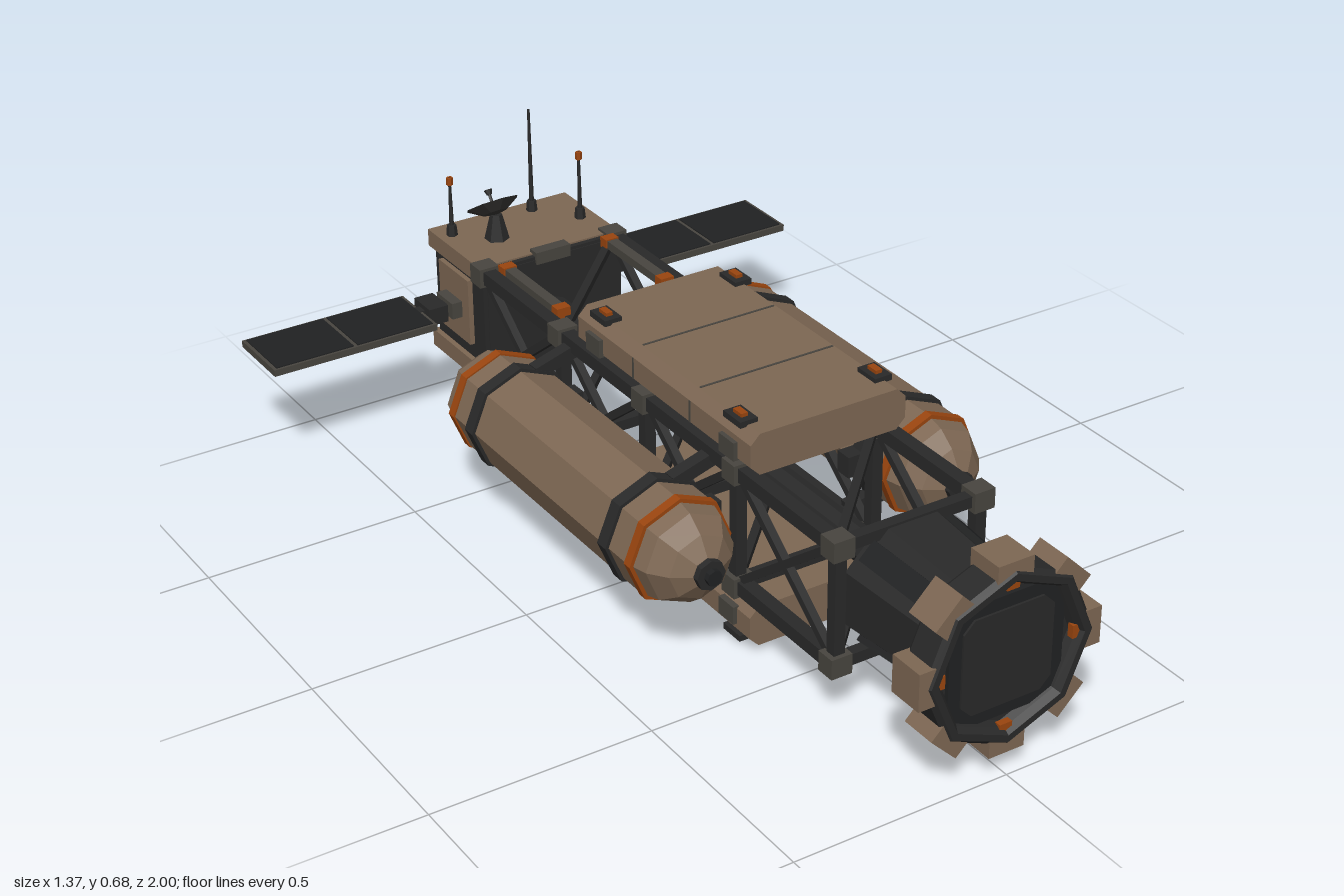
import * as THREE from 'three';

const flat = (name, color) => new THREE.MeshStandardMaterial({ name, color, flatShading: true });

export function createModel() {
  const root = new THREE.Group();
  root.name = 'spacecraft';
  const tan = flat('tan hull', 0x7d6753);
  const dark = flat('dark frame', 0x292929);
  const black = flat('black panel', 0x202122);
  const grey = flat('warm grey fitting', 0x48453f);
  const orange = flat('burnt orange', 0x9a450f);
  const CY = 0.28, H = 0.135, X = 0.17;

  const add = (name, geo, mat, x = 0, y = 0, z = 0, parent = root) => {
    const m = new THREE.Mesh(geo, mat);
    m.name = name;
    m.position.set(x, y, z);
    parent.add(m);
    return m;
  };
  const box = (name, mat, w, h, d, x, y, z, parent) =>
    add(name, new THREE.BoxGeometry(w, h, d), mat, x, y, z, parent);
  // cylinder along z, r1 at the front end
  const tubeZ = (name, mat, r1, r2, len, x, y, z, sides = 8) =>
    add(name, new THREE.CylinderGeometry(r1, r2, len, sides).rotateX(Math.PI / 2), mat, x, y, z);
  // square bar between two points
  const beam = (name, mat, a, b, t) => {
    const p = new THREE.Vector3(...a), q = new THREE.Vector3(...b);
    const m = box(name, mat, t, t, p.distanceTo(q), 0, 0, 0);
    m.position.copy(p).add(q).multiplyScalar(0.5);
    m.lookAt(q);
    return m;
  };
  const chamferShape = (w, h, c) => new THREE.Shape([
    [-w + c, -h], [w - c, -h], [w, -h + c], [w, h - c],
    [w - c, h], [-w + c, h], [-w, h - c], [-w, -h + c],
  ].map(p => new THREE.Vector2(...p)));
  const prism = (name, mat, w, h, c, z0, z1, y) =>
    add(name, new THREE.ExtrudeGeometry(chamferShape(w, h, c), { depth: z1 - z0, bevelEnabled: false }), mat, 0, y, z0);

  // truss: longerons, nodes, frames and diagonals
  const bays = [0.66, 0.31, -0.04, -0.39, -0.74];
  const lo = CY - H, hi = CY + H;
  for (const sx of [-1, 1]) for (const y of [lo, hi])
    box('longeron', dark, 0.032, 0.032, 1.42, sx * X, y, -0.04);
  bays.forEach((z, i) => {
    for (const y of [lo, hi]) {
      box('crossBar', dark, 2 * X, 0.026, 0.026, 0, y, z);
      for (const sx of [-1, 1]) box('trussNode', grey, 0.05, 0.046, 0.046, sx * X, y, z);
    }
    for (const sx of [-1, 1]) box('upright', dark, 0.026, 2 * H, 0.026, sx * X, CY, z);
    if (i === bays.length - 1) return;
    const n = bays[i + 1];
    for (const y of [lo, hi]) beam('flatDiagonal', dark, [-X, y, z], [X, y, n], 0.018);
    for (const sx of [-1, 1]) {
      beam('sideDiagonal', dark, [sx * X, lo, z], [sx * X, hi, n], 0.018);
      beam('sideDiagonal', dark, [sx * X, hi, z], [sx * X, lo, n], 0.018);
    }
  });
  tubeZ('spine', dark, 0.036, 0.036, 1.42, 0, CY, -0.04);

  // docking neck and collar
  const neck = new THREE.CylinderGeometry(0.138, 0.156, 0.24, 8).rotateY(Math.PI / 8).rotateX(Math.PI / 2);
  add('neck', neck, dark, 0, CY, 0.77);
  for (let i = 0; i < 4; i++) {
    const rib = new THREE.Group();
    rib.name = 'neckRibs';
    rib.position.set(0, CY, 0);
    rib.rotation.z = i * Math.PI / 2 + Math.PI / 4;
    box('neckRib', black, 0.05, 0.02, 0.2, 0, 0.139, 0.77, rib).rotation.x = 0.07;
    root.add(rib);
  }
  const collarProfile = [[0.125, 0.865], [0.15, 0.88], [0.195, 0.91], [0.203, 0.92], [0.203, 0.988],
    [0.192, 1], [0.176, 1], [0.166, 0.985], [0.158, 0.97], [0, 0.97]].map(p => new THREE.Vector2(...p));
  add('dockingCollar', new THREE.LatheGeometry(collarProfile, 8).rotateX(Math.PI / 2), dark, 0, CY, 0);
  prism('dockingDoor', black, 0.137, 0.137, 0.035, 0.965, 0.98, CY);
  prism('doorPanel', dark, 0.108, 0.108, 0.025, 0.975, 0.985, CY);
  for (let i = 0; i < 8; i++) {
    const g = new THREE.Group();
    g.name = 'collarSegment';
    g.position.y = CY;
    g.rotation.z = i * Math.PI / 4;
    box('collarBlock', tan, 0.085, 0.042, 0.085, 0, 0.197, 0.953, g);
    if (i % 2 === 0) box('collarLight', orange, 0.03, 0.02, 0.015, 0, 0.163, 0.983, g);
    root.add(g);
  }

  // cargo pods above and below with latches
  for (const s of [-1, 1]) {
    const y = CY + s * 0.204, face = CY + s * 0.251;
    prism('cargoPod', tan, 0.19, 0.047, 0.022, -0.285, 0.385, y);
    for (const z of [0.16, -0.06]) {
      box('podSeam', grey, 0.33, 0.003, 0.005, 0, face, z);
      for (const sx of [-1, 1]) box('podSideSeam', grey, 0.003, 0.05, 0.005, sx * 0.19, y, z);
    }
    for (const sx of [-1, 1]) for (const z of [0.31, -0.21]) {
      box('latchPlate', dark, 0.042, 0.014, 0.062, sx * 0.165, CY + s * 0.254, z);
      box('latchPin', orange, 0.016, 0.012, 0.03, sx * 0.165, CY + s * 0.263, z);
      box('latchSide', grey, 0.02, 0.042, 0.055, sx * 0.19, CY + s * 0.195, z);
    }
  }

  // propellant tanks with bands, caps and struts
  const tankProfile = [[0, -0.545], [0.035, -0.54], [0.075, -0.515], [0.105, -0.475], [0.118, -0.42],
    [0.118, 0.295], [0.105, 0.35], [0.075, 0.39], [0.035, 0.415], [0, 0.42]].map(p => new THREE.Vector2(...p));
  for (const sx of [-1, 1]) {
    const x = sx * 0.312, y = 0.272;
    add('tank', new THREE.LatheGeometry(tankProfile, 8).rotateX(Math.PI / 2), tan, x, y, 0);
    for (const z of [0.305, -0.428]) tubeZ('orangeBand', orange, 0.122, 0.122, 0.022, x, y, z);
    for (const z of [0.213, -0.343]) {
      tubeZ('clampBand', dark, 0.126, 0.126, 0.032, x, y, z);
      for (const s of [-1, 1])
        beam('tankStrut', dark, [sx * X, CY + s * 0.12, z], [sx * 0.27, y + s * 0.098, z], 0.03);
      box('tankMount', dark, 0.05, 0.05, 0.04, sx * 0.185, y, z);
    }
    for (const z of [0.418, -0.543]) {
      tubeZ('tankCap', dark, 0.034, 0.034, 0.024, x, y, z);
      tubeZ('tankValve', black, 0.018, 0.018, 0.05, x, y, z);
    }
    // handrails on the rear bay
    box('handrail', grey, 0.026, 0.02, 0.25, sx * 0.135, 0.432, -0.575);
    for (const z of [-0.455, -0.695]) box('handrailEnd', orange, 0.034, 0.026, 0.026, sx * 0.135, 0.432, z);
  }

  // service module
  prism('moduleBody', dark, 0.172, 0.14, 0.015, -0.975, -0.725, CY);
  for (const s of [-1, 1])
    box('modulePlate', tan, 0.37, 0.042, 0.245, 0, CY + s * 0.131, -0.862);
  box('louvrePanel', black, 0.27, 0.19, 0.02, 0, CY, -0.98);
  for (let i = 0; i < 5; i++) box('louvre', dark, 0.23, 0.014, 0.014, 0, CY - 0.07 + i * 0.035, -0.993);
  box('bulkheadBox', grey, 0.09, 0.03, 0.03, 0, 0.425, -0.735);

  // solar wings
  for (const sx of [-1, 1]) {
    const z = -0.87;
    box('sidePanel', tan, 0.018, 0.165, 0.14, sx * 0.175, 0.29, z);
    box('wingRoot', grey, 0.03, 0.04, 0.075, sx * 0.195, 0.287, z);
    box('wingArm', dark, 0.1, 0.02, 0.026, sx * 0.235, 0.287, z);
    box('wingJoint', dark, 0.048, 0.042, 0.075, sx * 0.245, 0.287, z);
    box('wingFrame', grey, 0.41, 0.016, 0.17, sx * 0.48, 0.287, z);
    for (const px of [0.379, 0.581])
      box('solarCell', black, 0.192, 0.021, 0.158, sx * px, 0.287, z);
  }

  // dish antenna
  const dish = new THREE.Group();
  dish.name = 'dishAntenna';
  dish.position.set(-0.073, 0.49, -0.855);
  dish.rotation.x = -0.6;
  const bowl = [[0, 0], [0.03, 0.007], [0.065, 0.028]].map(p => new THREE.Vector2(...p));
  const bowlMat = flat('dark dish', 0x333230);
  bowlMat.side = THREE.DoubleSide;
  add('dishBowl', new THREE.LatheGeometry(bowl, 8), bowlMat, 0, 0, 0, dish);
  add('dishFeed', new THREE.CylinderGeometry(0.004, 0.004, 0.055, 5), dark, 0, 0.028, 0, dish);
  add('dishHorn', new THREE.CylinderGeometry(0.01, 0.006, 0.012, 6), dark, 0, 0.056, 0, dish);
  root.add(dish);
  add('dishPedestal', new THREE.CylinderGeometry(0.014, 0.03, 0.065, 6), dark, -0.073, 0.461, -0.855);

  // whip antennas, the short ones tipped with lamps
  for (const [x, z, top, lamp] of [[0.07, -0.942, 0.69, false], [0.145, -0.845, 0.6, true], [-0.152, -0.927, 0.578, true]]) {
    add('antennaBase', new THREE.CylinderGeometry(0.011, 0.014, 0.03, 6), dark, x, 0.443, z);
    add('antennaMast', new THREE.CylinderGeometry(0.003, 0.006, top - 0.43, 6), dark, x, (top + 0.43) / 2, z);
    if (lamp) add('antennaLamp', new THREE.CylinderGeometry(0.008, 0.008, 0.018, 6), orange, x, top - 0.009, z);
  }
  return root;
}
